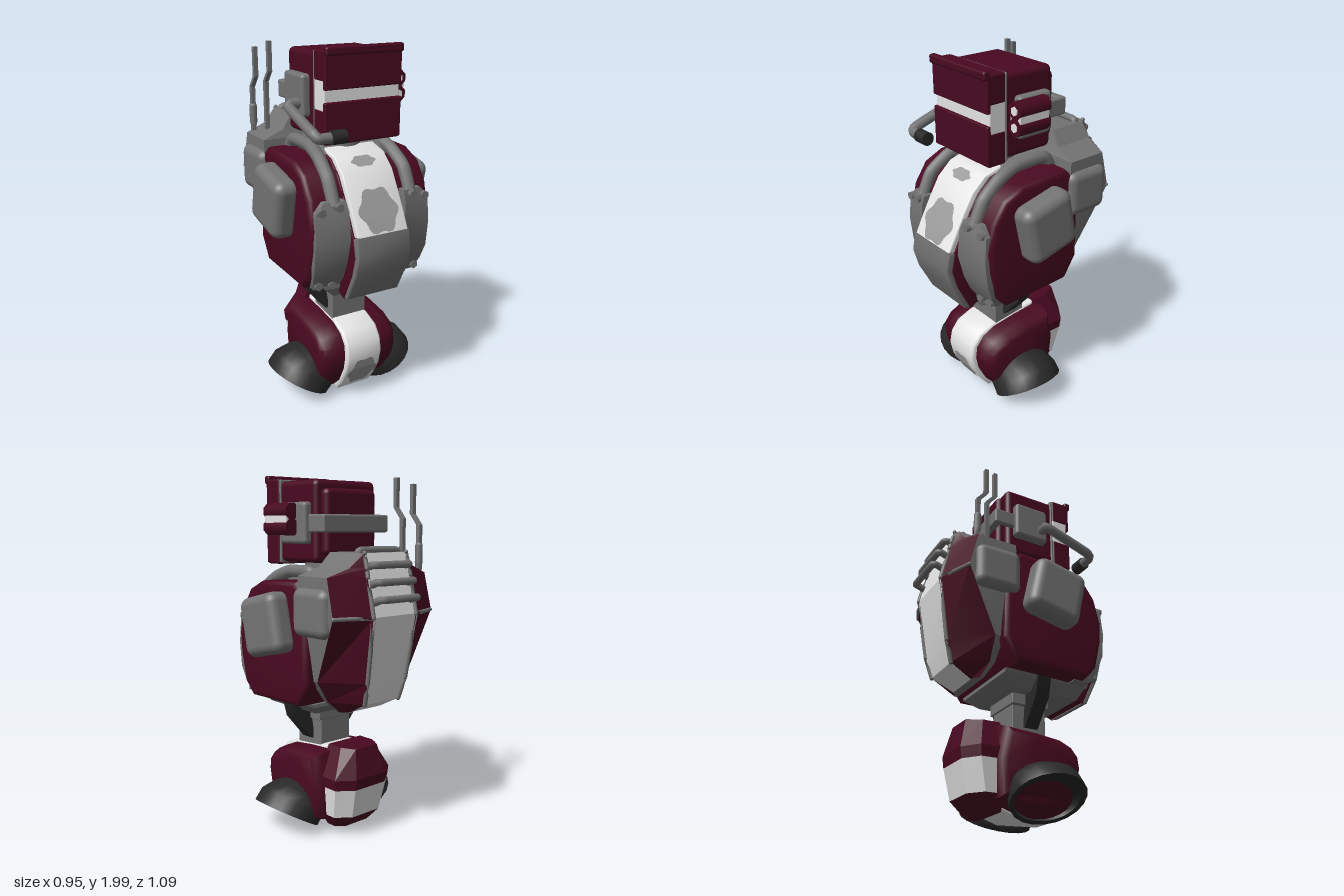
import * as THREE from 'three';
import { toCreasedNormals } from 'three/addons/utils/BufferGeometryUtils.js';
import { RoundedBoxGeometry } from 'three/addons/geometries/RoundedBoxGeometry.js';

const mat = (name, color) => {
  const m = new THREE.MeshStandardMaterial({ color });
  m.name = name;
  return m;
};

export function createModel() {
  const root = new THREE.Group();
  root.name = 'robot';
  const red = mat('maroon', 0x480920), gray = mat('gray', 0x737373), white = mat('white', 0xe4e4e4);
  const black = mat('black', 0x282828), patch = mat('patchGray', 0x9a9a9a);

  const add = (name, geo, m) => {
    const mesh = new THREE.Mesh(geo, m);
    mesh.name = name;
    root.add(mesh);
    return mesh;
  };
  // Rounded box given by its limits on each axis
  const box = (name, m, x0, x1, y0, y1, z0, z1, r = 0.02) => {
    const mesh = add(name, new RoundedBoxGeometry(x1 - x0, y1 - y0, z1 - z0, 3, r), m);
    mesh.position.set((x0 + x1) / 2, (y0 + y1) / 2, (z0 + z1) / 2);
    return mesh;
  };
  // Side profile of [z, y] points extruded across x, centred
  const slab = (name, m, pts, half, bevel = 0.01, thick = bevel) => {
    const g = new THREE.ExtrudeGeometry(new THREE.Shape(pts.map(p => new THREE.Vector2(...p))), {
      depth: 2 * (half - thick), bevelSize: bevel, bevelThickness: thick, bevelOffset: -bevel, bevelSegments: 3 });
    g.translate(0, 0, thick - half).rotateY(-Math.PI / 2);
    return add(name, toCreasedNormals(g, 0.7), m);
  };
  const tube = (name, m, pts, r, seg = 28) => {
    const v = pts.map(p => new THREE.Vector3(...p));
    const curve = new THREE.CatmullRomCurve3(v, false, 'catmullrom', 0.25);
    const mesh = add(name, new THREE.TubeGeometry(curve, seg, r, 10), m);
    for (const p of [v[0], v[v.length - 1]]) {
      const cap = new THREE.Mesh(new THREE.SphereGeometry(r, 10, 6), m);
      cap.position.copy(p);
      cap.name = name + 'End';
      mesh.add(cap);
    }
    return mesh;
  };
  // Closed loft through rings of [x, y, z]; columnMats colours each column, the last entry the caps
  const loft = (name, columnMats, rings, crease = 0.5) => {
    const tri = [], n = rings[0].length, g = new THREE.BufferGeometry();
    const single = !Array.isArray(columnMats);
    for (let j = 0; j < n; j++) {
      if (!single) g.addGroup(tri.length, 6 * (rings.length - 1), j);
      for (let i = 0; i + 1 < rings.length; i++) {
        const a = rings[i][j], b = rings[i][(j + 1) % n], c = rings[i + 1][(j + 1) % n], d = rings[i + 1][j];
        tri.push(a, b, c, a, c, d);
      }
    }
    if (!single) g.addGroup(tri.length, 6 * (n - 2), n);
    const last = rings[rings.length - 1];
    for (let j = 1; j + 1 < n; j++) {
      tri.push(rings[0][0], rings[0][j + 1], rings[0][j], last[0], last[j], last[j + 1]);
    }
    const V = tri.map(p => new THREE.Vector3(...p));
    let volume = 0;
    for (let i = 0; i < V.length; i += 3) volume += V[i].dot(V[i + 1].clone().cross(V[i + 2]));
    if (volume < 0) for (let i = 0; i < V.length; i += 3) [V[i + 1], V[i + 2]] = [V[i + 2], V[i + 1]];
    g.setFromPoints(V);
    return add(name, toCreasedNormals(g, crease), columnMats);
  };
  // Lobed camouflage patch laid over a front profile
  const blob = (name, profile, cy, rx, ry) => {
    const surf = y => {
      for (let i = 0; i + 1 < profile.length; i++) {
        const [z0, y0] = profile[i], [z1, y1] = profile[i + 1];
        if (y <= y0 && y >= y1) return z0 + (z1 - z0) * (y0 - y) / (y0 - y1);
      }
      return profile[0][0];
    };
    const g = new THREE.RingGeometry(0.001, 1, 48, 8), p = g.attributes.position;
    for (let i = 0; i < p.count; i++) {
      const x = p.getX(i), y = p.getY(i), k = 0.92 + 0.08 * Math.cos(6 * Math.atan2(y, x));
      const Y = cy + y * ry * k;
      p.setXYZ(i, x * rx * k, Y, surf(Y) + 0.007);
    }
    g.computeVertexNormals();
    add(name, g, patch);
  };

  // Torso shell and belly
  slab('torso', red, [[0.31, 1.38], [0.2, 1.43], [-0.1, 1.44], [-0.19, 1.36], [-0.2, 0.9], [-0.12, 0.775],
    [0.3, 0.765], [0.37, 0.84], [0.41, 1.0], [0.42, 1.12], [0.385, 1.27]], 0.36, 0.03);
  loft('belly', gray, [[0.775, 0.26, -0.14, 0.36], [0.755, 0.25, -0.14, 0.36], [0.7, 0.19, -0.07, 0.34]].map(([y, w, z0, z1]) =>
    [[-w, y, z0], [w, y, z0], [w, y, z1], [-w, y, z1]]), 0.2);
  slab('collar', gray, [[-0.2, 1.4], [-0.18, 1.48], [0.17, 1.47], [0.24, 1.41]], 0.2);

  // Raised centre panel: maroon core, white upper plate, gray lower plate
  const chest = [[0.17, 1.47], [0.28, 1.44], [0.36, 1.37], [0.42, 1.27], [0.48, 1.16], [0.52, 1.08],
    [0.54, 0.98], [0.51, 0.87], [0.43, 0.71]];
  const band = (pts, t) => pts.concat(pts.map(([z, y]) => [z - t, y - t * 0.3]).reverse());
  slab('chestCore', red, [...chest.map(([z, y]) => [z - 0.03, y - 0.01]), [0.25, 0.76], [0.15, 1.3]], 0.163, 0.005);
  slab('chestPlate', white, band(chest.slice(0, 6), 0.07), 0.152, 0.008);
  slab('abdomenPlate', gray, band(chest.slice(5).map(([z, y]) => [z + 0.004, y]), 0.045), 0.16, 0.008);
  blob('chestPatch', chest, 1.19, 0.12, 0.115);
  blob('collarPatch', chest, 1.415, 0.075, 0.025);

  for (const s of [-1, 1]) {
    // Gray chest side plates with bolts
    loft('chestSidePlate', gray, [[1.26, 0.175, 0.29, 0.44, 0.42], [1.21, 0.17, 0.34, 0.462, 0.425],
      [1.06, 0.165, 0.345, 0.475, 0.435], [0.92, 0.165, 0.345, 0.44, 0.42], [0.83, 0.163, 0.335, 0.4, 0.385], [0.76, 0.16, 0.31, 0.35, 0.345]]
      .map(([y, xi, xo, zi, zo]) => [[s * xi, y, zi], [s * xo, y, zo], [s * xo, y, zo - 0.1], [s * xi, y, zi - 0.1]]));
    for (const [x, y, z] of [[0.22, 1.235, 0.445], [0.31, 1.215, 0.425], [0.22, 0.785, 0.365], [0.3, 0.795, 0.365]]) {
      const bolt = add('bolt', new THREE.CylinderGeometry(0.024, 0.024, 0.04, 6), gray);
      bolt.position.set(s * x, y, z);
      bolt.rotation.x = Math.PI / 2;
    }
    tube('shoulderStrap', gray, [[s * 0.23, 1.24, 0.41], [s * 0.23, 1.36, 0.35], [s * 0.22, 1.44, 0.24],
      [s * 0.21, 1.48, 0.12], [s * 0.21, 1.48, -0.06], [s * 0.21, 1.42, -0.11]], 0.035);

    // Side pods and rear shoulder pads
    const pod = add('sidePod', new RoundedBoxGeometry(0.15, 0.33, 0.315, 4, 0.055), gray);
    pod.position.set(s * 0.398, 1.2, 0.083);
    pod.rotation.x = 0.22;
    box('shoulderPad', gray, s > 0 ? 0.27 : -0.392, s > 0 ? 0.392 : -0.27, 1.16, 1.415, -0.375, -0.107, 0.05);

    // Hip struts
    loft('hipStrut', black, [0.05, 0.13].map(z =>
      [[0.13, 0.71], [0.25, 0.775], [0.268, 0.765], [0.24, 0.66], [0.12, 0.52], [0.1, 0.52]].map(([x, y]) => [s * x, y, z])));

    // Flared oval side foot, hollow and open outwards and downwards
    const ring = (t, b, rz) => Array.from({ length: 20 }, (_, i) => {
      const a = i / 20 * Math.PI * 2, k = (1 + Math.cos(a)) / 2;
      return [s * (b[0] + (t[0] - b[0]) * k), b[1] + (t[1] - b[1]) * k, 0.085 + rz * Math.sin(a)];
    });
    loft('sideFoot', black, [ring([0.2, 0.295], [0.11, 0.04], 0.17), ring([0.3, 0.29], [0.11, 0.02], 0.19),
      ring([0.395, 0.262], [0.115, 0.012], 0.2), ring([0.447, 0.195], [0.125, 0.008], 0.205),
      ring([0.4, 0.175], [0.145, 0.022], 0.178), ring([0.3, 0.19], [0.135, 0.04], 0.165)], 0.7);
    loft('sideFootInside', red, [ring([0.26, 0.19], [0.12, 0.04], 0.14), ring([0.33, 0.187], [0.145, 0.032], 0.163)]);
  }

  // Backpack: gray sides, maroon wings, white spine
  const packRows = [[1.59, 0.15, 0.17, -0.41, -0.39, -0.17], [1.515, 0.152, 0.23, -0.43, -0.385, -0.15],
    [1.472, 0.155, 0.355, -0.44, -0.36, -0.13], [1.27, 0.155, 0.36, -0.485, -0.41, -0.12],
    [0.92, 0.14, 0.31, -0.43, -0.23, -0.18], [0.8, 0.125, 0.23, -0.395, -0.22, -0.19], [0.735, 0.11, 0.16, -0.27, -0.24, -0.22]];
  loft('backpack', [gray, red, white, red, gray, gray, gray], packRows.map(([y, xi, xo, zi, zo, zf]) =>
    [[-xo, y, zf], [-xo, y, zo], [-xi, y, zi], [xi, y, zi], [xo, y, zo], [xo, y, zf]]), 0.3);
  for (const s of [-1, 1]) {
    for (let i = 0; i < 5; i++) {
      const [a, b] = [packRows[i], packRows[i + 1]];
      tube('spineTrim', gray, [[s * a[1], a[0], a[3]], [s * b[1], b[0], b[3]]], 0.012, 2);
    }
    tube('wingSeam', gray, [[s * 0.155, 1.27, -0.485], [s * 0.355, 1.27, -0.408]], 0.011, 2);
  }
  for (const [y, z] of [[1.53, -0.46], [1.445, -0.495], [1.36, -0.523]]) {
    tube('backRib', gray, [[-0.13, y - 0.02, z + 0.07], [-0.13, y, z + 0.015], [-0.11, y, z], [0.11, y, z],
      [0.13, y, z + 0.015], [0.13, y - 0.02, z + 0.07]], 0.02);
  }
  tube('packHandle', gray, [[-0.14, 1.56, -0.355], [-0.13, 1.6, -0.355], [0.13, 1.6, -0.355], [0.14, 1.56, -0.355]], 0.02);

  // Bent antennas
  for (const [x, z, top] of [[-0.27, -0.22, 1.985], [-0.317, -0.3, 1.95]]) {
    const rows = [[top, z], [top - 0.16, z], [top - 0.22, z - 0.05], [1.4, z - 0.05]];
    loft('antenna', gray, rows.map(([y, c]) => [[-1, -1], [1, -1], [1, 1], [-1, 1]].map(([a, b]) => [x + a * 0.012, y, c + b * 0.012])));
  }
  tube('antennaBase', gray, [[-0.317, 1.44, -0.35], [-0.317, 1.62, -0.35]], 0.021, 2);

  // Neck and head
  const neck = add('neck', new THREE.CylinderGeometry(0.105, 0.105, 0.12, 24), gray);
  neck.position.set(0, 1.49, 0.085);
  box('headShell', red, -0.215, 0.215, 1.53, 1.965, -0.11, 0.21, 0.03);
  box('headBack', red, -0.18, 0.18, 1.57, 1.92, -0.155, 0, 0.03);
  box('headSeam', gray, -0.222, 0.222, 1.523, 1.974, 0.187, 0.203, 0.007);
  box('browBlock', red, -0.225, 0.225, 1.83, 1.98, 0.2, 0.31, 0.012);
  box('browRim', red, -0.226, 0.226, 1.955, 2.0, 0.293, 0.333, 0.012);
  box('browLip', red, -0.225, 0.225, 1.79, 1.975, 0.292, 0.316, 0.008);
  box('visor', white, -0.222, 0.222, 1.68, 1.84, 0.2, 0.3, 0.008);
  box('jawBlock', red, -0.225, 0.225, 1.515, 1.69, 0.2, 0.31, 0.012);
  box('jawLip', red, -0.225, 0.225, 1.52, 1.73, 0.292, 0.316, 0.008);
  for (const s of [-1, 1]) {
    box('earPlate', gray, s > 0 ? 0.2 : -0.26, s > 0 ? 0.26 : -0.2, 1.63, 1.85, -0.07, 0.14, 0.02);
    box('headBarArm', gray, s > 0 ? 0.205 : -0.235, s > 0 ? 0.235 : -0.205, 1.69, 1.785, -0.195, -0.04, 0.012);
  }
  box('headBar', gray, -0.235, 0.235, 1.69, 1.785, -0.195, -0.15, 0.012);

  // Twin scope on the left of the head
  for (const y of [1.802, 1.718]) {
    const barrel = add('scopeBarrel', new THREE.CylinderGeometry(0.046, 0.046, 0.2, 8), red);
    const lens = add('scopeLens', new THREE.CylinderGeometry(0.024, 0.024, 0.006, 6), white);
    barrel.rotation.set(Math.PI / 2, Math.PI / 8, 0);
    lens.rotation.x = Math.PI / 2;
    barrel.position.set(0.287, y, 0.1);
    lens.position.set(0.287, y, 0.202);
  }
  box('scopeBand', white, 0.25, 0.324, 1.735, 1.785, 0.005, 0.195, 0.005);

  // Microphone boom on the right of the head
  tube('microphoneBoom', gray, [[-0.24, 1.7, 0.1], [-0.31, 1.7, 0.1], [-0.32, 1.68, 0.13], [-0.32, 1.6, 0.37],
    [-0.305, 1.58, 0.4], [-0.23, 1.58, 0.4]], 0.028);
  const mic = add('microphone', new THREE.CylinderGeometry(0.036, 0.036, 0.08, 16), black);
  mic.rotation.z = Math.PI / 2;
  mic.position.set(-0.203, 1.58, 0.403);

  // Hip column
  box('hipColumn', gray, -0.108, 0.108, 0.42, 0.72, -0.02, 0.185, 0.005);
  box('hipCollar', gray, -0.13, 0.13, 0.64, 0.71, -0.03, 0.195, 0.005);

  // Foot: maroon hull with a white centre band
  const toe = [[-0.1, 0.505], [0.05, 0.49], [0.2, 0.475], [0.3, 0.44], [0.35, 0.38], [0.366, 0.3], [0.345, 0.21],
    [0.29, 0.11], [0.24, 0.045]];
  slab('footBand', white, [...toe, [0, 0.035], [-0.14, 0.08]], 0.112, 0.015);
  slab('footHull', red, [[-0.13, 0.49], [0.05, 0.478], [0.2, 0.46], [0.28, 0.425], [0.325, 0.37], [0.335, 0.3], [0.32, 0.22],
    [0.27, 0.12], [0.21, 0.06], [0, 0.05], [-0.15, 0.1], [-0.17, 0.3]], 0.247, 0.05, 0.12);
  blob('footPatch', toe, 0.18, 0.095, 0.105);

  // Heel block in three bands
  const heel = [[0.52, 0.08, 0.12, -0.28, -0.2], [0.36, 0.11, 0.205, -0.32, -0.25], [0.3, 0.11, 0.2, -0.312, -0.245],
    [0.13, 0.1, 0.18, -0.275, -0.21], [0.05, 0.08, 0.13, -0.2, -0.16]].map(([y, xi, xo, zi, zo]) =>
    [[-xo, y, -0.1], [-xo, y, zo], [-xi, y, zi], [xi, y, zi], [xo, y, zo], [xo, y, -0.1]]);
  loft('heelTop', red, heel.slice(0, 3), 0.3);
  loft('heelBand', white, heel.slice(2, 4), 0.3);
  loft('heelBottom', red, heel.slice(3), 0.3);

  return root;
}
